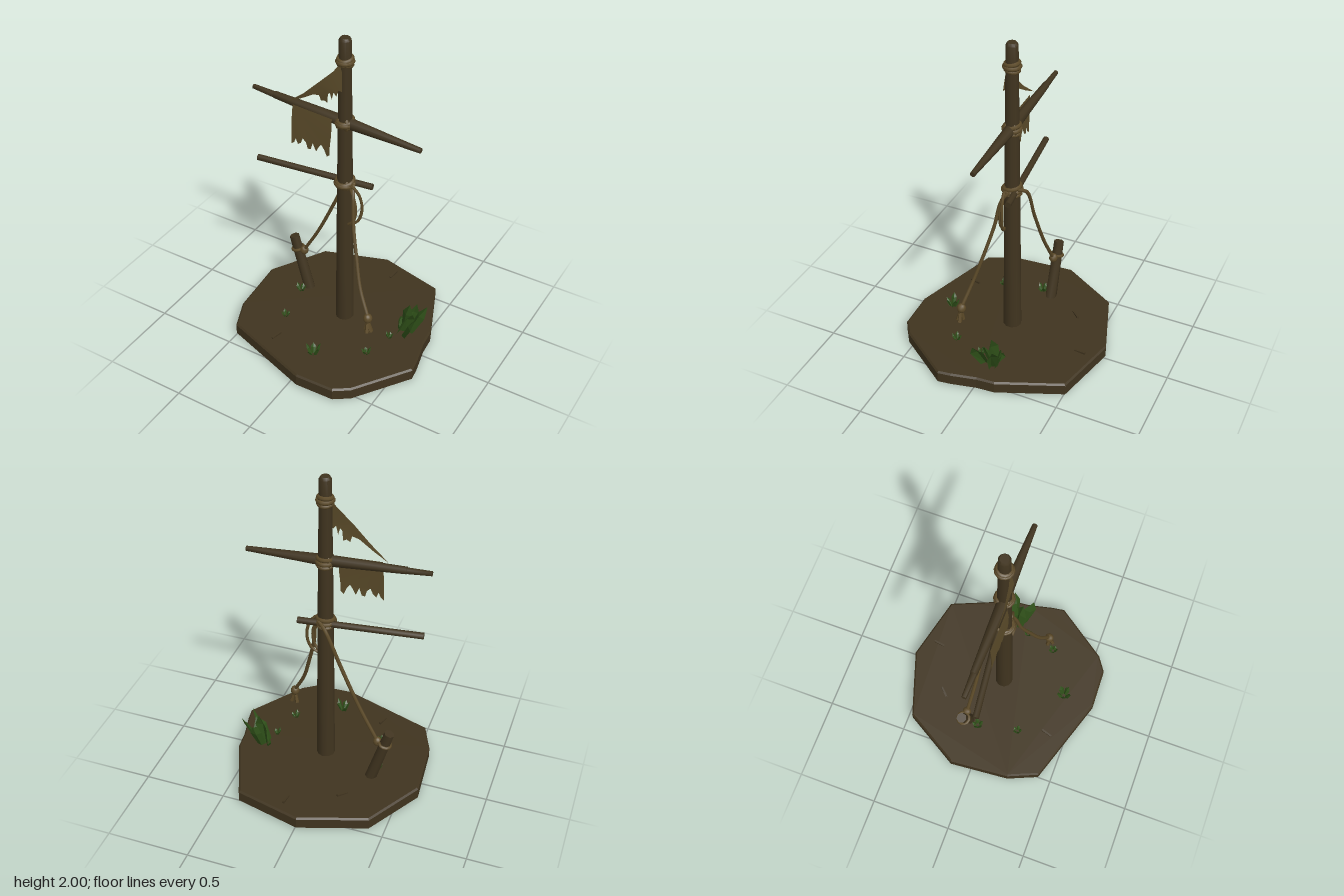
import * as THREE from 'three';
import { toCreasedNormals, mergeGeometries } from 'three/addons/utils/BufferGeometryUtils.js';

const mat = (name, color, side = THREE.FrontSide) =>
  Object.assign(new THREE.MeshStandardMaterial({ color, side }), { name });
const V = (a) => new THREE.Vector3(...a);

export function createModel() {
  const root = new THREE.Group();
  root.name = 'brokenMast';
  const soil = mat('soil', 0x40341f);
  const wood = mat('weatheredWood', 0x40341f);
  const rope = mat('rope', 0x5c4a28);
  const cloth = mat('sailcloth', 0x5c4c2a, THREE.DoubleSide);
  const leaf = mat('grassGreen', 0x2e4f18, THREE.DoubleSide);

  const add = (name, geo, material, parent = root) => {
    const m = new THREE.Mesh(geo, material);
    m.name = name;
    parent.add(m);
    return m;
  };
  // Tapered spar between two points
  const spar = (name, a, b, ra, rb, material = wood, sides = 8) => {
    const p = V(a), q = V(b), d = q.clone().sub(p);
    const geo = toCreasedNormals(new THREE.CylinderGeometry(rb, ra, d.length(), sides), 0.9);
    const m = add(name, geo, material);
    m.position.copy(p).add(q).multiplyScalar(0.5);
    m.quaternion.setFromUnitVectors(new THREE.Vector3(0, 1, 0), d.normalize());
    return m;
  };
  const line = (name, pts, r = 0.011, closed = false) =>
    add(name, new THREE.TubeGeometry(new THREE.CatmullRomCurve3(pts.map(V), closed), 24, r, 6, closed), rope);
  const knot = (name, p, r, sy = 1) => {
    const m = add(name, new THREE.IcosahedronGeometry(r, 1), rope);
    m.position.set(...p);
    m.scale.y = sy;
    return m;
  };

  // Ground slab, outline as x, z
  const outline = [[-0.01, -0.605], [0.39, -0.51], [0.55, -0.13], [0.56, -0.02], [0.595, 0.13], [0.607, 0.21],
    [0.38, 0.53], [0.29, 0.592], [0.05, 0.6], [-0.5, 0.42], [-0.577, 0.24], [-0.61, -0.13], [-0.41, -0.47]];
  const slab = new THREE.ExtrudeGeometry(
    new THREE.Shape(outline.map(([x, z]) => new THREE.Vector2(x, -z))),
    { depth: 0.065, bevelEnabled: true, bevelThickness: 0.01, bevelSize: 0.01, bevelOffset: -0.01, bevelSegments: 1 });
  slab.rotateX(-Math.PI / 2).translate(0, 0.01, 0);
  add('ground', slab, soil);

  // Mast with a worn top
  const mast = new THREE.LatheGeometry(
    [[0.056, 0.07], [0.051, 0.6], [0.046, 1.08], [0.041, 1.5], [0.036, 1.86], [0.035, 1.985], [0.026, 2], [0, 2]]
      .map(([r, y]) => new THREE.Vector2(r, y)), 10);
  mast.translate(0.021, 0, 0);
  add('mast', toCreasedNormals(mast, 0.7), wood);

  // Yards
  spar('upperYardLeft', [-0.44, 1.516, 0], [0.02, 1.483, 0], 0.021, 0.034);
  spar('upperYardTip', [-0.58, 1.526, 0], [-0.42, 1.513, 0], 0.014, 0.019);
  spar('upperYardRight', [0.02, 1.483, 0], [0.492, 1.458, 0.005], 0.034, 0.015);
  spar('lowerYard', [-0.545, 1.079, 0.04], [0.175, 1.076, -0.045], 0.019, 0.019);

  // Leaning stake
  spar('stake', [-0.302, 0.06, -0.115], [-0.413, 0.447, -0.117], 0.036, 0.031, wood, 7);

  // Rope lashings around the mast
  for (const [y, r] of [[1.86, 0.037], [1.48, 0.043], [1.08, 0.048]]) {
    const coils = [-0.017, 0, 0.017].map((dy, i) =>
      new THREE.TorusGeometry(r + (i === 1 ? 0.005 : 0), 0.013, 6, 14)
        .rotateX(Math.PI / 2 + (i - 1) * 0.2).translate(0.021, y + dy, 0));
    add('lashing', mergeGeometries(coils), rope);
  }
  // Crossed bindings where yards meet the mast
  for (const y of [1.48, 1.08])
    for (const s of [-1, 1]) {
      const m = add('crossBinding', new THREE.TorusGeometry(0.046, 0.011, 6, 14), rope);
      m.position.set(0.021, y, 0);
      m.rotation.set(0, Math.PI / 2 + s * 0.75, 0);
    }

  // Stay rope tied to the stake
  line('stayRope', [[0.05, 1.1, -0.045], [0, 1.07, -0.078], [-0.1, 0.84, -0.086], [-0.22, 0.58, -0.096], [-0.335, 0.375, -0.11]]);
  knot('stayKnot', [-0.34, 0.365, -0.112], 0.027, 1.15);
  const tie = add('stakeTie', new THREE.TorusGeometry(0.035, 0.01, 6, 12), rope);
  tie.position.set(-0.388, 0.36, -0.117);
  tie.rotation.set(Math.PI / 2, 0.28, 0);

  // Hanging rope with frayed end
  line('hangingRope', [[0.07, 1.09, -0.01], [0.094, 1.04, 0.03], [0.118, 0.86, 0.068], [0.165, 0.68, 0.112], [0.22, 0.5, 0.16], [0.295, 0.35, 0.2]]);
  knot('hangingKnot', [0.298, 0.335, 0.203], 0.028, 1.15);
  for (const [x, z] of [[0.285, 0.2], [0.305, 0.225], [0.322, 0.205]])
    spar('frayedEnd', [0.299, 0.325, 0.205], [x, 0.245, z], 0.01, 0.014, rope, 5);

  // Slack loop beside the mast
  line('slackLoop', [[0.07, 1.09, 0.025], [0.12, 1.04, 0.015], [0.14, 0.94, 0.01], [0.115, 0.85, 0.018], [0.06, 0.815, 0.03],
    [0.1, 0.86, 0.036], [0.112, 0.96, 0.034]], 0.009, true);

  // Torn sails: flat shapes bent gently in z
  const sail = (name, pts, zRule) => {
    const geo = new THREE.ShapeGeometry(new THREE.Shape(pts.map((p) => new THREE.Vector2(...p))));
    const pos = geo.attributes.position;
    for (let i = 0; i < pos.count; i++) pos.setZ(i, zRule(pos.getX(i), pos.getY(i)));
    geo.computeVertexNormals();
    add(name, geo, cloth);
  };
  sail('upperSail', [[0.02, 1.87], [-0.03, 1.8], [-0.12, 1.71], [-0.22, 1.61], [-0.33, 1.52], [-0.24, 1.57], [-0.155, 1.625],
    [-0.115, 1.635], [-0.105, 1.6], [-0.085, 1.61], [-0.065, 1.6], [-0.057, 1.66], [-0.045, 1.67], [-0.035, 1.63],
    [-0.022, 1.68], [-0.005, 1.66], [0.01, 1.7], [0.03, 1.7]], (x, y) => 0.03 + 0.02 * Math.sin((1.87 - y) * 9));
  sail('lowerSail', [[-0.295, 1.515], [-0.3, 1.4], [-0.305, 1.26], [-0.285, 1.275], [-0.272, 1.305], [-0.26, 1.27],
    [-0.24, 1.285], [-0.225, 1.32], [-0.205, 1.3], [-0.195, 1.26], [-0.175, 1.265], [-0.16, 1.31], [-0.14, 1.26],
    [-0.125, 1.29], [-0.105, 1.32], [-0.085, 1.29], [-0.07, 1.25], [-0.052, 1.265], [-0.05, 1.31], [-0.04, 1.4], [-0.04, 1.5]],
  (x, y) => 0.037 + 0.012 * Math.sin((1.515 - y) * 9));

  // Grass: each blade is a folded leaf from base to tip with a notched top
  const blade = (b, t, w, turn) => {
    const B = V(b), T = V(t), s = new THREE.Vector3(Math.cos(turn), 0, Math.sin(turn)).multiplyScalar(w);
    const out = new THREE.Vector3(-s.z, 0, s.x).multiplyScalar(0.5);
    const M = B.clone().lerp(T, 0.65);
    const P = [B.clone().addScaledVector(s, -0.7), B.clone().add(out), B.clone().addScaledVector(s, 0.7),
      M.clone().sub(s), M.clone().add(out), M.clone().add(s), T];
    const geo = new THREE.BufferGeometry().setFromPoints(P);
    geo.setIndex([0, 1, 4, 0, 4, 3, 1, 2, 5, 1, 5, 4, 3, 4, 6, 4, 5, 6]);
    const flat = geo.toNonIndexed();
    flat.computeVertexNormals();
    return flat;
  };
  add('tallGrass', mergeGeometries([
    blade([0.4, 0.08, -0.08], [0.437, 0.3, -0.06], 0.042, 0.3),
    blade([0.44, 0.08, -0.07], [0.53, 0.29, -0.11], 0.036, 0.6),
    blade([0.43, 0.08, -0.02], [0.515, 0.27, 0.025], 0.04, 1.2),
    blade([0.4, 0.08, -0.03], [0.47, 0.26, -0.03], 0.045, 2.2),
    blade([0.38, 0.08, -0.06], [0.36, 0.15, -0.1], 0.03, 1.4),
    blade([0.42, 0.08, -0.07], [0.45, 0.26, -0.13], 0.035, 2.8)]), leaf);
  // Small tufts: x, z, spread, height
  for (const [x, z, r, h] of [[0.045, 0.4, 0.045, 0.075], [0.31, 0.235, 0.03, 0.04], [-0.28, 0.2, 0.028, 0.035],
    [-0.33, -0.05, 0.035, 0.045], [0.36, 0.045, 0.025, 0.04]]) {
    const blades = [0, 1, 2, 3, 4].map((i) => {
      const a = i * 1.257 + x * 9, c = Math.cos(a) * r, s = Math.sin(a) * r;
      return blade([x + c * 0.3, 0.08, z + s * 0.3], [x + c, 0.085 + h * (i % 2 ? 0.7 : 1), z + s], r * 0.38, a + 1.57);
    });
    add('grassTuft', mergeGeometries(blades), leaf);
  }

  // Half-buried splinters
  for (const [x, z, a] of [[0.1, -0.48, 1.45], [-0.2, -0.33, 0.8], [-0.23, 0.38, 1.3]]) {
    const m = add('splinter', new THREE.BoxGeometry(0.07, 0.014, 0.012), wood);
    m.position.set(x, 0.088, z);
    m.rotation.set(0, a, 0.1);
  }
  return root;
}
